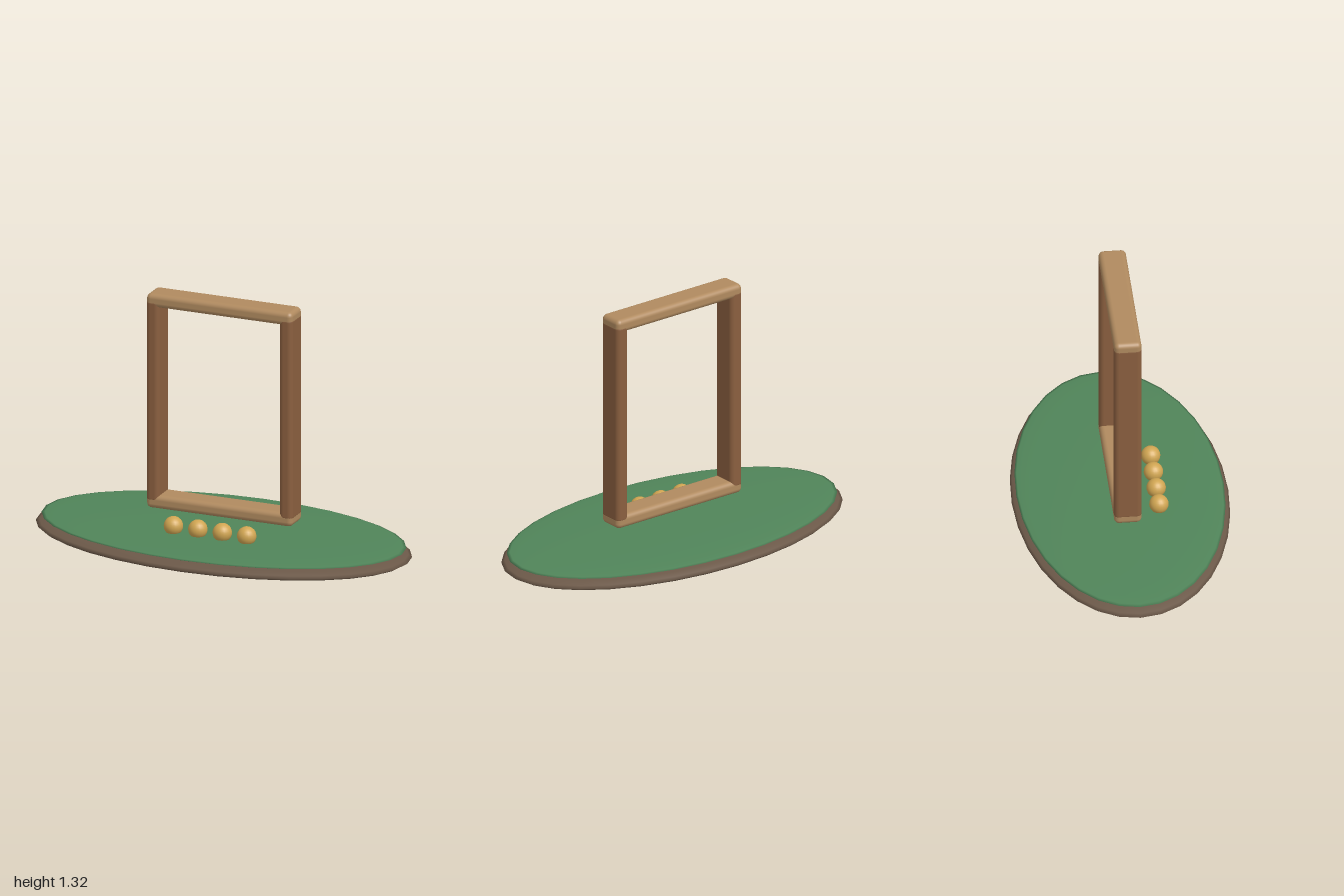
import * as THREE from 'three';
import { RoundedBoxGeometry } from 'three/addons/geometries/RoundedBoxGeometry.js';

const material = (name, color) => {
  const m = new THREE.MeshStandardMaterial({ color });
  m.name = name;
  return m;
};

export function createModel() {
  const model = new THREE.Group();
  model.name = 'frameOnOvalBase';

  const earth = material('earth brown', 0x6b5848);
  const grass = material('grass green', 0x508459);
  const lightWood = material('light wood', 0xb08a5f);
  const darkWood = material('dark wood', 0x8a5f3f);
  const gold = material('gold', 0xd0a552);

  const add = (name, geometry, mat, x, y, z) => {
    const mesh = new THREE.Mesh(geometry, mat);
    mesh.name = name;
    mesh.position.set(x, y, z);
    model.add(mesh);
    return mesh;
  };

  // Flattened ellipsoids: the base and the green top resting in it
  const disc = (rx, ry, rz) => new THREE.SphereGeometry(1, 32, 16).scale(rx, ry, rz);
  add('base', disc(1, 0.06, 0.545), earth, 0, 0.06, 0);
  add('greenTop', disc(0.97, 0.02, 0.522), grass, 0, 0.105, 0);

  // Upright frame: two rails and two posts whose ends sink into the rails
  const rail = new RoundedBoxGeometry(0.796, 0.07, 0.138, 3, 0.025);
  add('topRail', rail, lightWood, 0, 1.286, 0);
  add('bottomRail', rail, lightWood, 0, 0.224, 0);
  const post = new RoundedBoxGeometry(0.071, 1.076, 0.139, 3, 0.025);
  for (const side of [-1, 1]) {
    add(side > 0 ? 'leftPost' : 'rightPost', post, darkWood, side * 0.363, 0.755, 0);
  }

  // Row of balls in front of the frame
  const ball = new THREE.SphereGeometry(0.049, 20, 14);
  for (let i = 0; i < 4; i++) {
    add('ball' + (i + 1), ball, gold, -0.2 + i * 0.1333, 0.154, 0.175);
  }
  return model;
}
